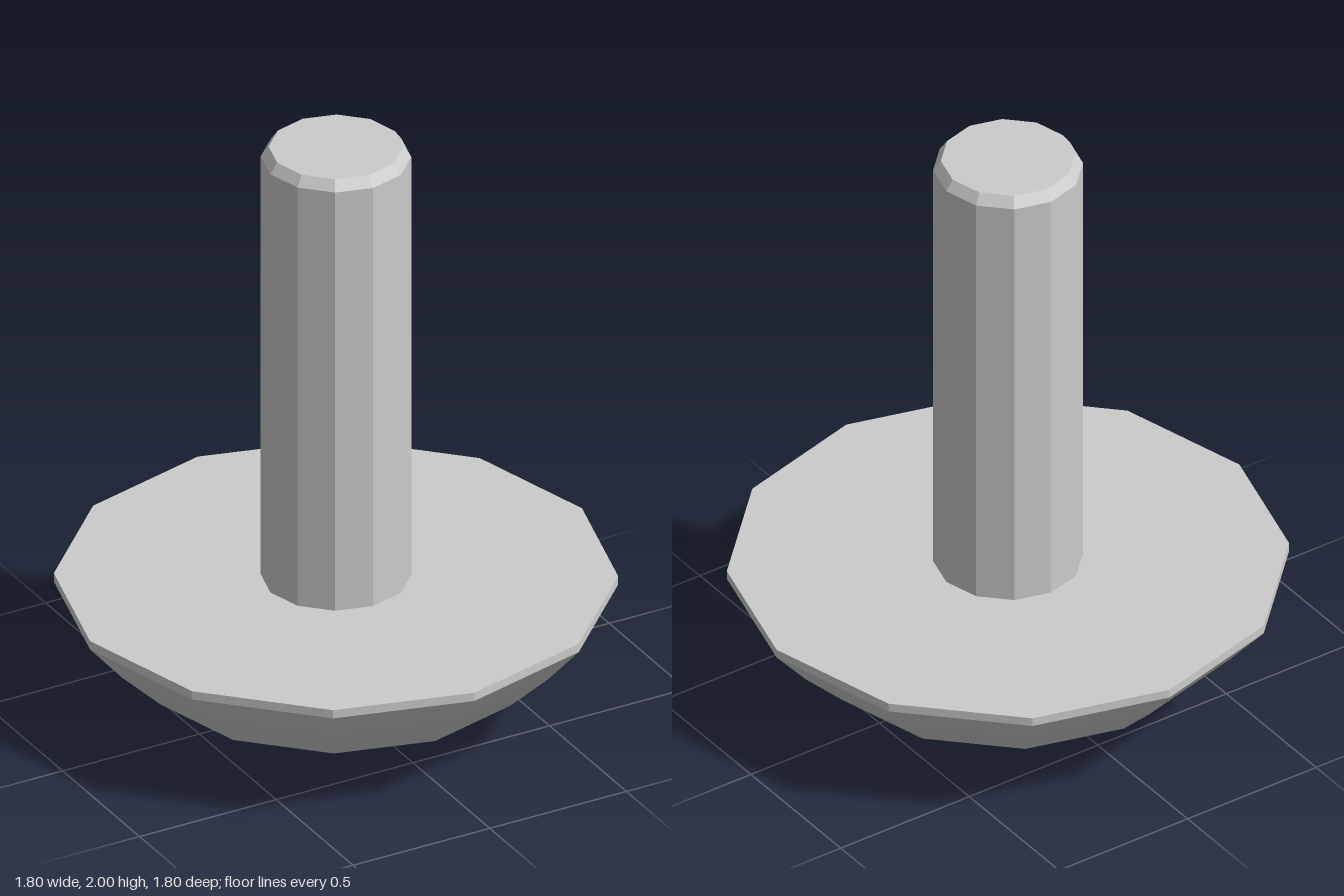
import * as THREE from 'three';

const SIDES = 12;

// Faceted solid of revolution; profile runs from bottom to top as [radius, y]
function turned(name, profile) {
  const points = profile.map(([r, y]) => new THREE.Vector2(r, y));
  const material = new THREE.MeshStandardMaterial({ color: 0xcccccc, flatShading: true });
  const mesh = new THREE.Mesh(new THREE.LatheGeometry(points, SIDES), material);
  mesh.name = name;
  return mesh;
}

export function createModel() {
  const group = new THREE.Group();
  group.name = 'roundHeadPin';

  // Domed head with a thin straight rim and flat upper face
  group.add(turned('domedHead', [
    [0, 0], [0.375, 0.07], [0.645, 0.148], [0.785, 0.283],
    [0.9, 0.415], [0.9, 0.445], [0, 0.445],
  ]));

  // Shaft with a chamfered end
  group.add(turned('shaft', [
    [0.24, 0.445], [0.24, 1.965], [0.215, 2], [0, 2],
  ]));

  return group;
}
